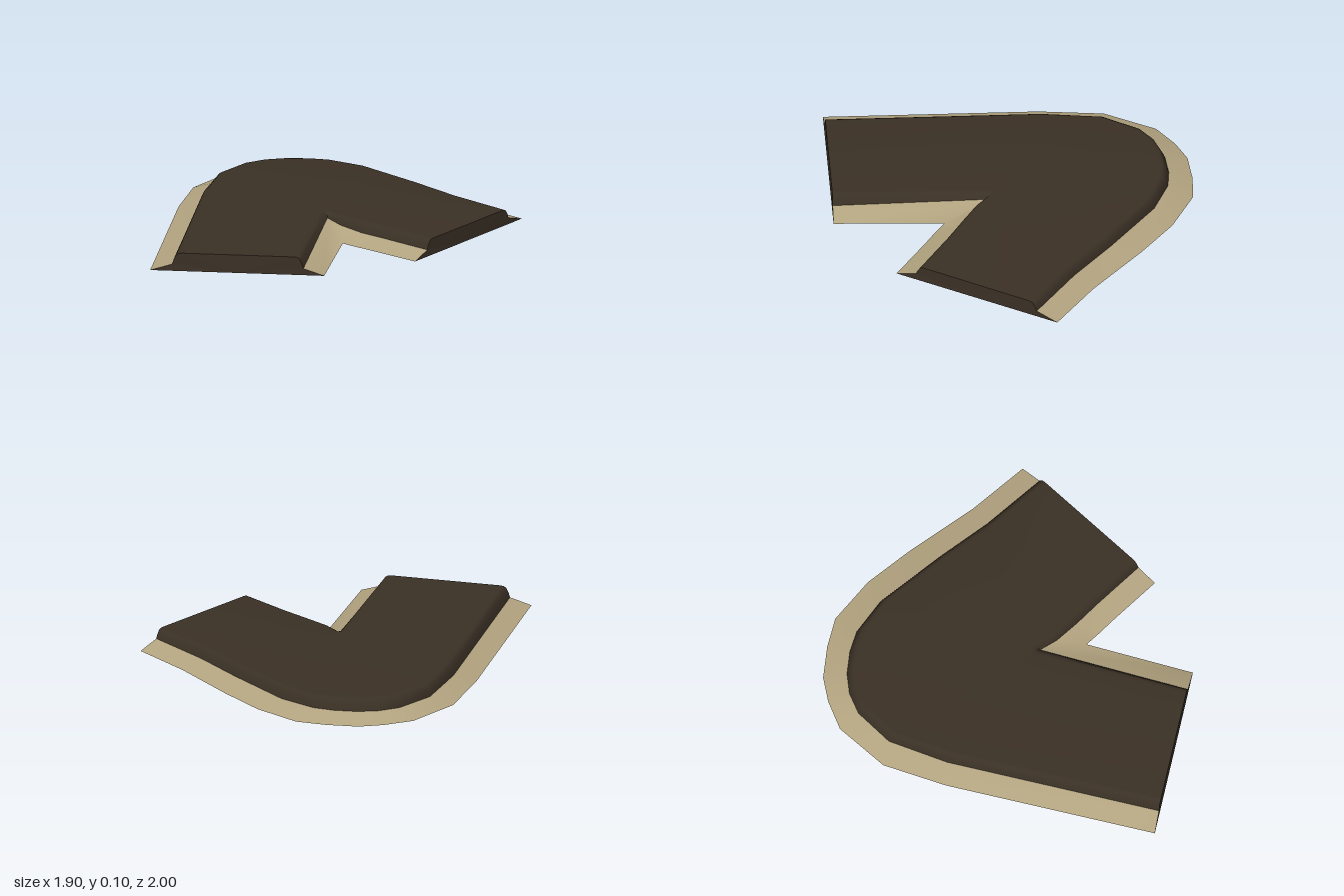
import * as THREE from 'three';
import { toCreasedNormals } from 'three/addons/utils/BufferGeometryUtils.js';

const asphalt = new THREE.MeshStandardMaterial({ name: 'asphalt', color: 0x3a3025, side: THREE.DoubleSide });
const sand = new THREE.MeshStandardMaterial({ name: 'sand', color: 0xb3a480, side: THREE.DoubleSide });

// Plan outlines [x, z], one point per station along the bend
const outerBase = [[-.95, 1], [-.945, -.18], [-.91, -.54], [-.76, -.82], [-.62, -.92], [-.49, -.98],
  [-.31, -1], [-.14, -.995], [.11, -.87], [.34, -.69], [.66, -.41], [.95, -.2]];
const outerFoot = [[-.83, .995], [-.825, -.2], [-.78, -.54], [-.66, -.74], [-.56, -.815], [-.45, -.855],
  [-.32, -.87], [-.2, -.86], [0, -.775], [.33, -.52], [.58, -.31], [.89, -.09]];
const corner = (p, n) => Array.from({ length: n }, () => p);
const innerBase = [[.01, .985], ...corner([.035, .38], 8), [.11, .43], [.2, .485], [.47, .66]];
const innerFoot = [[-.105, .985], ...corner([-.08, .145], 7), [0, .22], [.13, .305], [.27, .39], [.525, .555]];

// Height of the road, falling slightly toward the second end
const lift = [1, 1, 1, 1, 1, 1, 1, 1, 1, .97, .94, .9];
// Verge height on the inside, rising into the corner
const innerRise = [.037, ...corner(.07, 7), .055, .042, .04, .037];
// Shoulder: inset from the foot and fraction of the way up
const shoulder = [[0, 0], [.008, .4], [.022, .83], [.036, .97], [.055, 1]];

// One cross-section from the outer base over the top to the inner base
function section(s) {
  const o = new THREE.Vector2(...outerFoot[s]), i = new THREE.Vector2(...innerFoot[s]);
  const across = i.clone().sub(o).normalize();
  const top = .102 * lift[s];
  const rim = (foot, sign, low) => shoulder.map(([inset, t]) => {
    const p = foot.clone().addScaledVector(across, sign * inset);
    return new THREE.Vector3(p.x, low + (top - low) * t, p.y);
  });
  const base = ([x, z]) => new THREE.Vector3(x, 0, z);
  return [base(outerBase[s]), ...rim(o, 1, .037), ...rim(i, -1, innerRise[s]).reverse(), base(innerBase[s])];
}

const sections = outerBase.map((_, s) => section(s));

function triangles(list) {
  const solid = list.filter(t => new THREE.Triangle(...t).getArea() > 1e-7);
  return new THREE.BufferGeometry().setFromPoints(solid.flat());
}

// Surface through a range of points of every section
function strip(from, to) {
  const list = [];
  for (let s = 0; s < sections.length - 1; s++) {
    for (let i = from; i < to; i++) {
      const a = sections[s][i], b = sections[s][i + 1];
      const c = sections[s + 1][i + 1], d = sections[s + 1][i];
      list.push([a, b, d], [b, c, d]);
    }
  }
  return toCreasedNormals(triangles(list), 0.75);
}

// Flat wall closing one end
function endWall(points, flip) {
  const mid = points[0].clone().lerp(points[points.length - 1], .5);
  const list = [];
  for (let i = 0; i < points.length - 1; i++) {
    list.push(flip ? [mid, points[i], points[i + 1]] : [mid, points[i + 1], points[i]]);
  }
  const g = triangles(list);
  g.computeVertexNormals();
  return g;
}

export function createModel() {
  const group = new THREE.Group();
  group.name = 'roadBend';
  const add = (name, geometry, material) => {
    const mesh = new THREE.Mesh(geometry, material);
    mesh.name = name;
    group.add(mesh);
  };
  const last = sections[0].length - 1;
  add('outerVerge', strip(0, 1), sand);
  add('roadSurface', strip(1, last - 1), asphalt);
  add('innerVerge', strip(last - 1, last), sand);
  add('frontEndWall', endWall(sections[0], false), asphalt);
  add('sideEndWall', endWall(sections[sections.length - 1], true), asphalt);
  return group;
}
